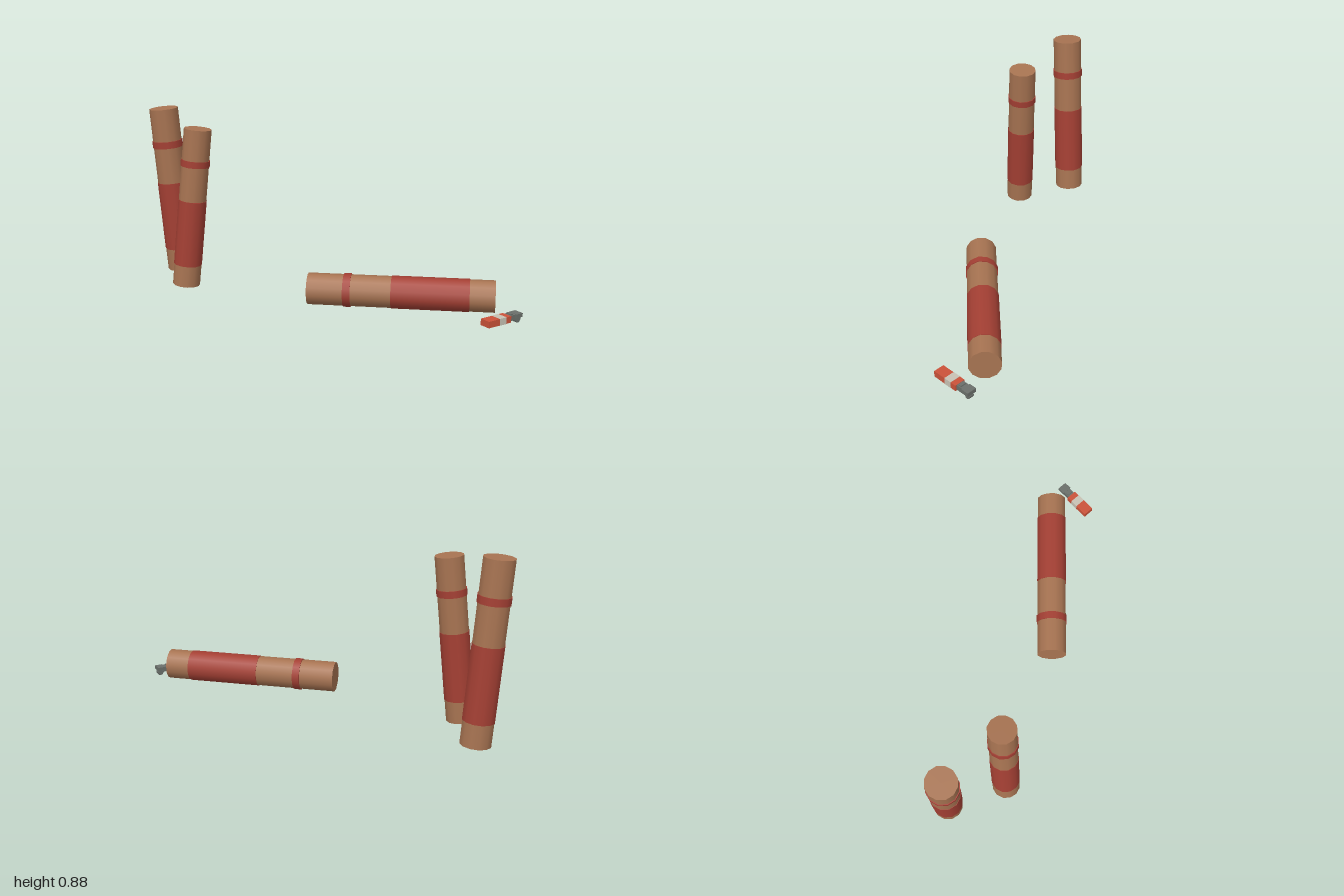
import * as THREE from 'three';

const mat = (color) => new THREE.MeshStandardMaterial({ color });
const brown = mat(0xa87452), red = mat(0xa54034), orange = mat(0xcb5239);
const cream = mat(0xc8c2b4), steel = mat(0x6b706b);

const UP = new THREE.Vector3(0, 1, 0);

// Stick running from base to top, proportions relative to its length
function createStick(name, base, top) {
  const a = new THREE.Vector3(...base), axis = new THREE.Vector3(...top).sub(a);
  const stick = new THREE.Group();
  stick.name = name;
  const section = (part, from, to, radius, material) => {
    const m = new THREE.Mesh(new THREE.CylinderGeometry(radius, radius, to - from, 12), material);
    m.position.y = (from + to) / 2;
    m.name = part;
    stick.add(m);
  };
  section('tube', 0, 1, 0.0855, brown);
  section('wrapper', 0.134, 0.549, 0.088, red);
  section('band', 0.765, 0.806, 0.0905, red);
  stick.scale.setScalar(axis.length());
  stick.quaternion.setFromUnitVectors(UP, axis.normalize());
  stick.position.copy(a);
  return stick;
}

// Small lighter lying flat, its length along local +x
function createLighter() {
  const lighter = new THREE.Group();
  lighter.name = 'lighter';
  const block = (part, x0, x1, y0, y1, width, material) => {
    const m = new THREE.Mesh(new THREE.BoxGeometry(x1 - x0, y1 - y0, width), material);
    m.position.set((x0 + x1) / 2, (y0 + y1) / 2, 0);
    m.name = part;
    lighter.add(m);
    return m;
  };
  block('body', 0, 0.067, 0.017, 0.048, 0.055, orange);
  block('label', 0.067, 0.107, 0.016, 0.049, 0.056, cream);
  block('bodyEnd', 0.107, 0.137, 0.017, 0.048, 0.055, orange);
  block('neck', 0.137, 0.18, 0.021, 0.047, 0.04, steel);
  block('neckRidge', 0.145, 0.16, 0.047, 0.052, 0.03, steel);
  block('head', 0.172, 0.212, 0.029, 0.048, 0.05, steel);
  // Striker wheel and its lever
  const wheel = new THREE.Mesh(new THREE.CylinderGeometry(0.0155, 0.0155, 0.026, 10), steel);
  wheel.rotation.x = Math.PI / 2;
  wheel.position.set(0.195, 0.0165, 0);
  wheel.name = 'strikerWheel';
  lighter.add(wheel);
  const lever = block('lever', 0.178, 0.205, 0.02, 0.026, 0.034, steel);
  lever.rotation.z = 0.3;
  lighter.position.set(0.858, 0, 0.187);
  lighter.rotation.y = Math.atan2(0.82, 0.57);
  return lighter;
}

export function createModel() {
  const model = new THREE.Group();
  model.name = 'stickSet';
  model.add(
    createStick('tallStandingStick', [-0.865, 0.018, -0.171], [-0.925, 0.878, -0.132]),
    createStick('shortStandingStick', [-0.705, 0.018, 0.088], [-0.63, 0.817, 0.062]),
    createStick('lyingStick', [0.86, 0.096, -0.022], [-0.007, 0.096, 0.168]),
    createLighter()
  );
  return model;
}
